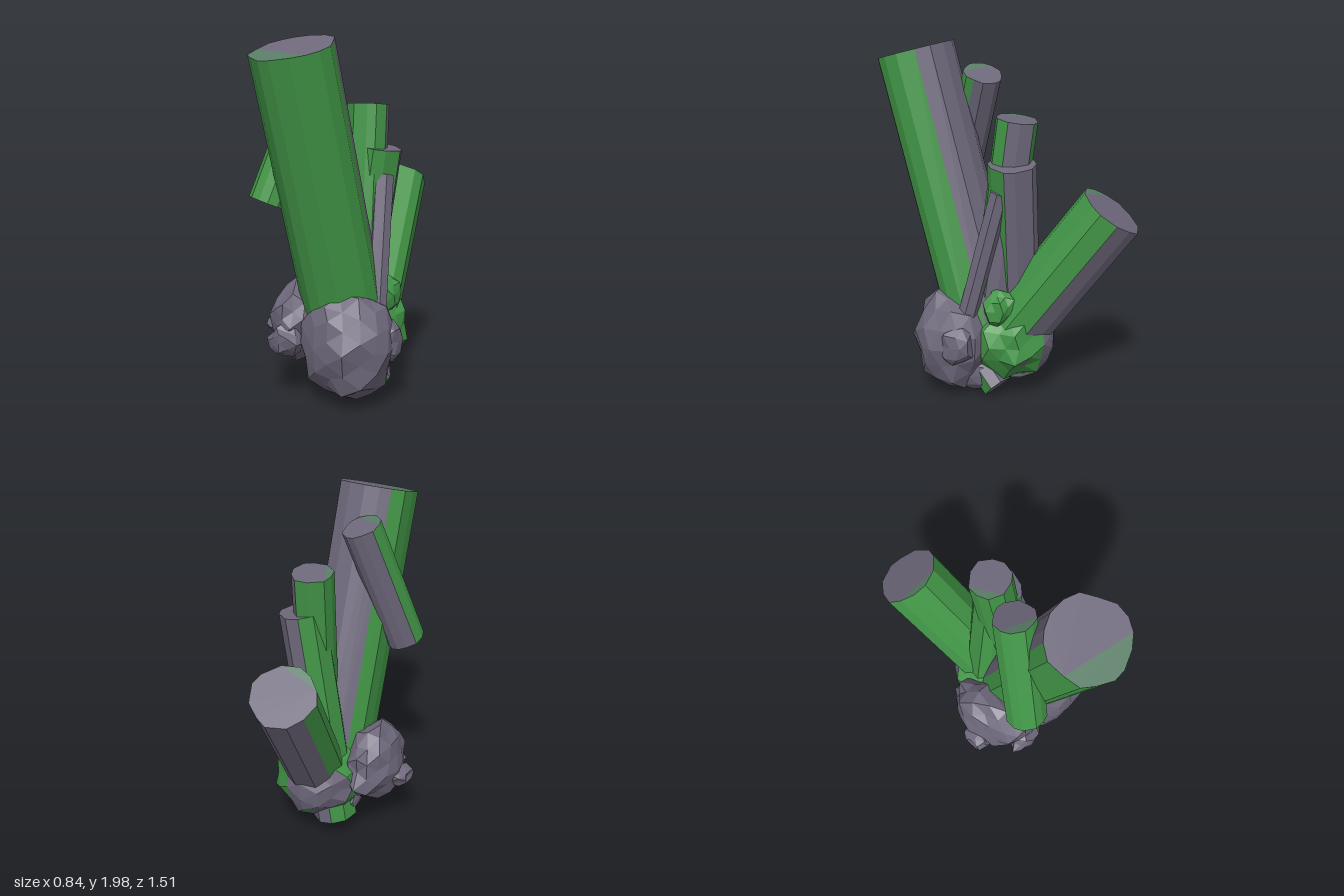
import * as THREE from 'three';

const stone = new THREE.MeshStandardMaterial({ color: 0x6e687b, flatShading: true });
stone.name = 'grey stone';
const moss = new THREE.MeshStandardMaterial({ color: 0x429647, flatShading: true });
moss.name = 'green';
const blend = new THREE.MeshStandardMaterial({ color: 0x587d66, flatShading: true });
blend.name = 'muted green';
const materials = [stone, moss, blend];

const hash = (a, b, c) => {
  const s = Math.sin(a * 127.1 + b * 311.7 + c * 74.7) * 43758.5453;
  return s - Math.floor(s);
};
const angleGap = (a, b) => Math.abs(((a - b + 540) % 360 + 360) % 360 - 180);

// Builds one mesh from three lists of triangle corners, one per colour
function meshFromLists(name, lists) {
  const geo = new THREE.BufferGeometry();
  const pos = [];
  lists.forEach((list, m) => {
    if (list.length) geo.addGroup(pos.length / 3, list.length, m);
    list.forEach((v) => pos.push(v.x, v.y, v.z));
  });
  geo.setAttribute('position', new THREE.Float32BufferAttribute(pos, 3));
  geo.computeVertexNormals();
  const mesh = new THREE.Mesh(geo, materials);
  mesh.name = name;
  return mesh;
}

// Irregular prism from foot to tip; faces within `half` degrees of `centre` are green
function column(name, foot, tip, r, sides, centre, half, capHalf, seed) {
  const a = new THREE.Vector3(...foot), b = new THREE.Vector3(...tip);
  const axis = b.clone().sub(a);
  const q = new THREE.Quaternion().setFromUnitVectors(
    new THREE.Vector3(0, 1, 0), axis.clone().normalize());
  const angles = [], low = [], high = [];
  for (let i = 0; i < sides; i++) {
    const deg = (i + 0.45 * (hash(i, seed, 1) - 0.5)) * 360 / sides;
    const t = THREE.MathUtils.degToRad(deg);
    const rr = r * (0.95 + 0.1 * hash(i, seed, 2));
    const off = new THREE.Vector3(rr * Math.cos(t), 0, rr * Math.sin(t)).applyQuaternion(q);
    angles.push(deg);
    low.push(a.clone().add(off));
    high.push(b.clone().add(off));
  }
  const lists = [[], [], []];
  // Side faces and lower end
  for (let i = 0; i < sides; i++) {
    const j = (i + 1) % sides;
    const mid = (angles[i] + (j ? angles[j] : angles[0] + 360)) / 2;
    const list = lists[angleGap(mid, centre) < half ? 1 : 0];
    list.push(low[i], high[i], low[j], low[j], high[i], high[j]);
    lists[0].push(a, low[i], low[j]);
  }
  // Upper end, cut by a chord into a grey and a muted green part
  const fan = (ids, list) => {
    for (let k = 1; k < ids.length - 1; k++) {
      list.push(high[ids[0]], high[ids[k + 1]], high[ids[k]]);
    }
  };
  const first = Math.round((centre - capHalf) * sides / 360);
  const count = Math.round(2 * capHalf * sides / 360);
  const run = (from, n) => Array.from({ length: n + 1 },
    (_, k) => (((from + k) % sides) + sides) % sides);
  fan(run(first, count), lists[2]);
  fan(run(first + count, sides - count), lists[0]);
  return meshFromLists(name, lists);
}

// Craggy lump; isGreen decides the colour of each face from its normal
function lump(name, centre, size, detail, rough, seed, isGreen) {
  const p = new THREE.IcosahedronGeometry(1, detail).getAttribute('position');
  const lists = [[], [], []];
  for (let i = 0; i < p.count; i += 3) {
    const tri = [0, 1, 2].map((k) => {
      const v = new THREE.Vector3().fromBufferAttribute(p, i + k);
      const key = [v.x, v.y, v.z].map((c) => Math.round(c * 100));
      const s = 1.03 - rough * hash(key[0] + seed, key[1], key[2]);
      return v.multiplyScalar(s).multiply(new THREE.Vector3(...size))
        .add(new THREE.Vector3(...centre));
    });
    const n = new THREE.Triangle(...tri).getNormal(new THREE.Vector3());
    lists[isGreen(n) ? 1 : 0].push(...tri);
  }
  return meshFromLists(name, lists);
}

export function createModel() {
  const model = new THREE.Group();
  model.name = 'crystalCluster';
  const never = () => false, always = () => true;

  model.add(
    // Pillars
    column('mainPillar', [0.06, 0.4, 0.1], [-0.005, 1.94, 0.54], 0.22, 16, 109, 123, 70, 1),
    column('floatingPillar', [-0.26, 1.11, 0.4], [-0.08, 1.82, 0.17], 0.108, 12, 112, 112, 60, 2),
    column('tallBackPillar', [0.12, 0.3, 0.07], [0.08, 1.62, -0.095], 0.118, 10, 150, 150, 45, 3),
    column('shortBackPillar', [-0.04, 0.12, -0.06], [0.145, 1.39, -0.09], 0.13, 10, 120, 122, 45, 4),
    column('leaningPillar', [0.09, 0.35, -0.03], [-0.01, 1.145, -0.6], 0.182, 12, 96, 118, 50, 5),
    column('thinPillar', [0.265, 0.45, 0.15], [0.205, 1.24, -0.045], 0.055, 7, 0, 0, 0, 6),
    column('lowerStub', [0.19, 0.08, -0.02], [0.14, 0.24, 0.14], 0.085, 6, 80, 100, 0, 7),

    // Craggy base
    lump('frontRock', [0.14, 0.35, 0.24], [0.28, 0.33, 0.25], 2, 0.16, 11, never),
    lump('sideRock', [-0.2, 0.42, 0.13], [0.18, 0.25, 0.29], 2, 0.22, 12, never),
    lump('backRock', [0.06, 0.37, -0.07], [0.27, 0.26, 0.24], 2, 0.18, 13,
      (n) => n.y < -0.75 || !(n.z < -0.2 && n.x < 0.4 && n.y < 0.5)),
    lump('lowRock', [0.12, 0.15, 0.12], [0.17, 0.13, 0.18], 1, 0.25, 14, never),
    lump('sideSpur', [-0.35, 0.36, 0.14], [0.09, 0.06, 0.11], 1, 0.4, 15, never),
    lump('frontSpur', [-0.19, 0.34, 0.36], [0.12, 0.11, 0.08], 1, 0.35, 16, never),
    lump('rightSpur', [0.33, 0.38, 0.17], [0.1, 0.14, 0.12], 1, 0.3, 17, never),
    lump('greenSpur', [0.22, 0.58, -0.05], [0.09, 0.12, 0.1], 1, 0.35, 18, always),
    lump('underSpur', [-0.06, 0.22, 0.0], [0.13, 0.1, 0.16], 1, 0.3, 19, (n) => n.y < -0.3),
  );
  return model;
}
